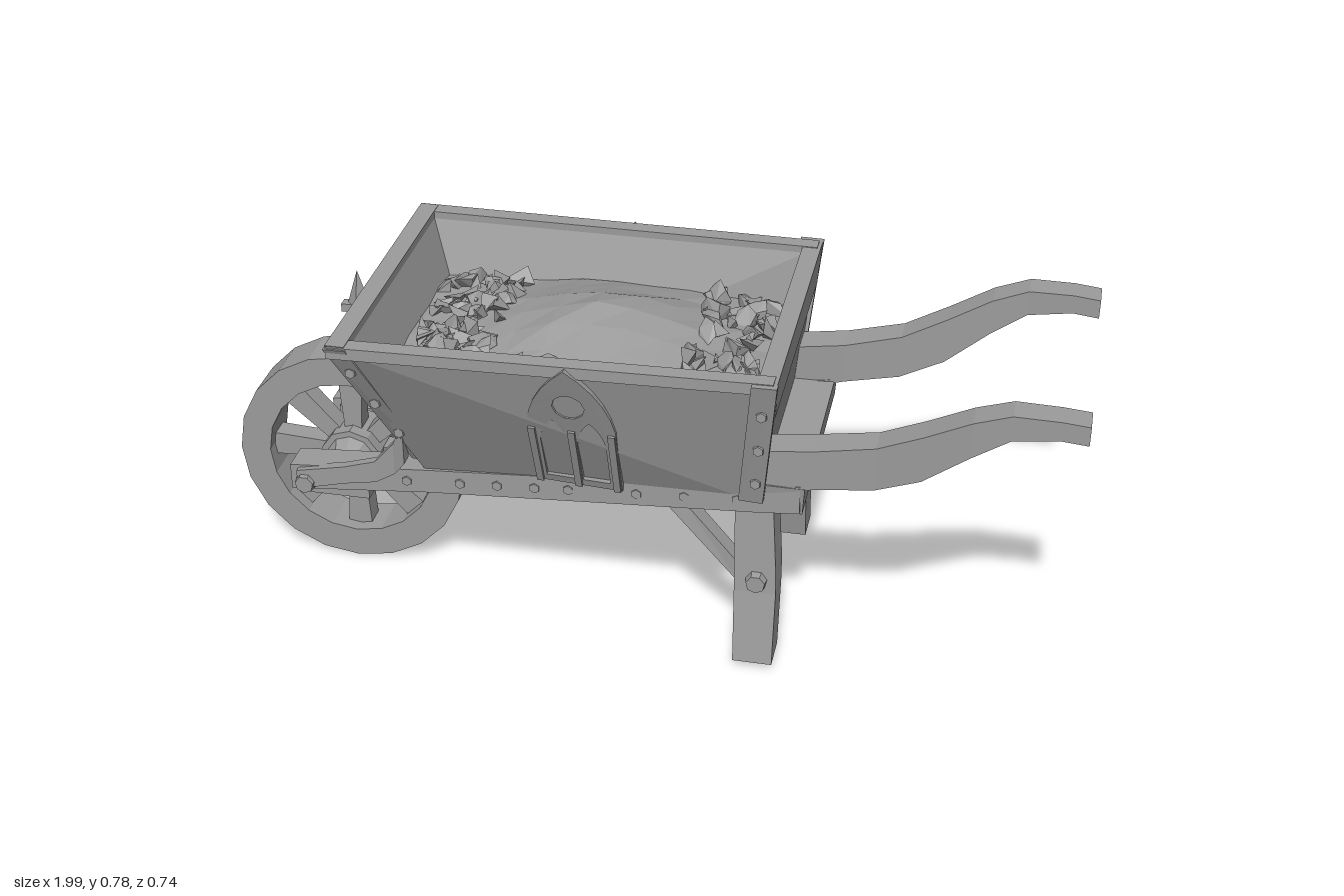
import * as THREE from 'three';

const wood = new THREE.MeshStandardMaterial({ color: 0x9c9c9c });
wood.name = 'weathered grey';
wood.flatShading = true;

let seed = 7;
const rand = () => (seed = (seed * 16807) % 2147483647) / 2147483647;
const lerp = THREE.MathUtils.lerp;

// The undercarriage sits slightly off to the right: outward shift of each side's lower parts
const sway = (s) => (s > 0 ? -0.005 : 0.03);

function add(parent, name, geo, x = 0, y = 0, z = 0) {
  const m = new THREE.Mesh(geo, wood);
  m.name = name;
  m.position.set(x, y, z);
  parent.add(m);
  return m;
}

// Solid through a row of four-cornered cross-sections, capped and wound outward
function loft(sections) {
  const tris = [];
  const quad = (a, b, c, d) => tris.push([a, b, c], [a, c, d]);
  for (let i = 0; i < sections.length - 1; i++) {
    const p = sections[i], q = sections[i + 1];
    for (let k = 0; k < 4; k++) quad(p[k], p[(k + 1) % 4], q[(k + 1) % 4], q[k]);
  }
  const e = sections[sections.length - 1];
  quad(sections[0][3], sections[0][2], sections[0][1], sections[0][0]);
  quad(e[0], e[1], e[2], e[3]);
  const v = (p) => new THREE.Vector3(...p);
  const o = v(sections[0][0]);
  const volume = tris.reduce((s, [a, b, c]) =>
    s + v(a).sub(o).dot(v(b).sub(o).cross(v(c).sub(o))), 0);
  const flat = tris.flatMap((t) => (volume < 0 ? [t[0], t[2], t[1]] : t)).flat();
  const g = new THREE.BufferGeometry();
  g.setAttribute('position', new THREE.Float32BufferAttribute(flat, 3));
  g.computeVertexNormals();
  return g;
}

// Bar along x: each station is [x, yLow, yHigh, zIn, zOut]
const bar = (stations) => loft(stations.map(([x, a, b, zi, zo]) =>
  [[x, a, zi], [x, a, zo], [x, b, zo], [x, b, zi]]));

// Outer half-width of the flared tray side at a point of its face
function wallZ(x, y, out) {
  const v = (y - 0.39) / 0.385;
  const t = (x + 0.48 + 0.16 * v) / (0.78 + 0.2 * v);
  return lerp(0.18 + out + 0.07 * t, 0.36 - 0.02 * t, v);
}

// Flat shape in x,y laid onto the flared side
function onWall(shape, depth, out) {
  const g = new THREE.ExtrudeGeometry(shape, { depth, bevelEnabled: false, curveSegments: 5 });
  const p = g.attributes.position;
  for (let i = 0; i < p.count; i++) p.setZ(i, p.getZ(i) - 0.004 + wallZ(p.getX(i), p.getY(i), out));
  g.computeVertexNormals();
  return g;
}
const poly = (pts) => new THREE.Shape(pts.map(([x, y]) => new THREE.Vector2(x, y)));

// Pointed arch outline
function arch(path, cx, half, y0, spring, top) {
  path.moveTo(cx - half, y0);
  path.lineTo(cx + half, y0);
  path.lineTo(cx + half, spring);
  path.quadraticCurveTo(cx + half * 0.85, lerp(spring, top, 0.6), cx, top);
  path.quadraticCurveTo(cx - half * 0.85, lerp(spring, top, 0.6), cx - half, spring);
  path.closePath();
  return path;
}

function buildSide(out) {
  const side = new THREE.Group();
  const T = 0.03, low = 0.18 + out, lowRear = 0.25 + out;
  add(side, 'sideWall', loft([
    [[-0.48, 0.35, low], [-0.48, 0.35, low - T], [-0.63, 0.77, 0.36 - T], [-0.63, 0.77, 0.36]],
    [[0.3, 0.42, lowRear], [0.3, 0.42, lowRear - T], [0.335, 0.78, 0.34 - T], [0.335, 0.78, 0.34]],
  ]));
  add(side, 'sideRim', bar([[-0.635, 0.745, 0.773, 0.325, 0.365], [0.335, 0.755, 0.782, 0.305, 0.343]]));

  // Handle leans back to its own line away from the shaft
  const handle = [[0.28, 0.44, 0.56, 0.185, 0.26], [0.42, 0.483, 0.58, 0.19, 0.265],
    [0.55, 0.505, 0.61, 0.205, 0.275], [0.65, 0.55, 0.66, 0.22, 0.29], [0.75, 0.63, 0.715, 0.235, 0.303],
    [0.83, 0.685, 0.745, 0.243, 0.308], [0.93, 0.7, 0.745, 0.247, 0.31], [0.99, 0.695, 0.74, 0.247, 0.31]];
  add(side, 'handle', bar(handle.map(([x, a, b, zi, zo], i) => {
    const shift = out * (1 - i / 9);
    return [x, a, b, zi + shift, zo + shift];
  })));

  // Shaft and leg
  const frame = new THREE.Group();
  frame.name = 'undercarriage';
  frame.position.z = out;
  side.add(frame);
  add(frame, 'shaft', bar([[-0.82, 0.27, 0.335, 0.105, 0.18], [-0.48, 0.315, 0.375, 0.13, 0.2],
    [0.3, 0.405, 0.47, 0.18, 0.262], [0.39, 0.415, 0.485, 0.185, 0.265]]));
  add(frame, 'leg', loft([[0.02, 0.255, 0.345, 0.213, 0.3], [0.195, 0.25, 0.345, 0.18, 0.27],
    [0.25, 0.248, 0.343, 0.175, 0.265], [0.43, 0.245, 0.33, 0.165, 0.25]].map(([y, a, b, zi, zo]) =>
    [[a, y, zi], [b, y, zi], [b, y, zo], [a, y, zo]])));
  add(frame, 'legBrace', loft([
    [[0.08, 0.39, 0.19], [0.13, 0.39, 0.19], [0.13, 0.39, 0.235], [0.08, 0.39, 0.235]],
    [[0.26, 0.2, 0.205], [0.26, 0.25, 0.205], [0.26, 0.25, 0.25], [0.26, 0.2, 0.25]]]));

  // Metal straps at the corners and down to the axle
  add(side, 'frontCornerStrap', onWall(poly([[-0.64, 0.77], [-0.515, 0.4], [-0.47, 0.4], [-0.59, 0.77]]), 0.016, out));
  add(side, 'rearCornerStrap', onWall(poly([[0.255, 0.44], [0.31, 0.44], [0.345, 0.78], [0.29, 0.78]]), 0.02, out));
  add(frame, 'axleStrap', bar([[-0.8, 0.28, 0.33, 0.17, 0.195], [-0.68, 0.315, 0.36, 0.18, 0.203],
    [-0.6, 0.335, 0.39, 0.19, 0.212], [-0.55, 0.37, 0.45, 0.195, 0.222], [-0.52, 0.41, 0.52, 0.205, 0.238]]));
  add(frame, 'axleBlock', new THREE.BoxGeometry(0.16, 0.075, 0.06), -0.72, 0.285, 0.125);

  // Pointed tracery window
  const tracery = arch(new THREE.Shape(), -0.11, 0.1, 0.41, 0.6, 0.775);
  for (const dx of [-0.042, 0.042])
    tracery.holes.push(arch(new THREE.Path(), -0.11 + dx, 0.032, 0.43, 0.55, 0.62));
  tracery.holes.push(new THREE.Path().absarc(-0.11, 0.665, 0.036, 0, Math.PI * 2, true));
  add(side, 'traceryWindow', onWall(tracery, 0.022, out));
  for (const x of [-0.2, -0.11, -0.02])
    add(side, 'traceryColumn', onWall(poly([[x - 0.008, 0.41], [x + 0.008, 0.41], [x + 0.008, 0.59], [x - 0.008, 0.59]]), 0.03, out));

  // Rivets
  const rivet = new THREE.CylinderGeometry(0.012, 0.014, 0.014, 6).rotateX(Math.PI / 2);
  for (const x of [-0.53, -0.4, -0.31, -0.22, -0.14, 0.02, 0.13, 0.25])
    add(frame, 'rivet', rivet, x, 0.4 + x * 0.115, 0.234 + x * 0.075);
  for (const y of [0.5, 0.6, 0.7]) {
    add(side, 'rivet', rivet, 0.255 + y * 0.08, y, wallZ(0.29, y, out) + 0.016);
    const x = -0.49 - (y - 0.4) * 0.34;
    add(side, 'rivet', rivet, x, y, wallZ(x, y, out) + 0.012);
  }
  const bolt = new THREE.CylinderGeometry(0.022, 0.026, 0.025, 7).rotateX(Math.PI / 2);
  add(frame, 'legBolt', bolt, 0.3, 0.225, 0.272);
  add(frame, 'axleBolt', bolt, -0.78, 0.3, 0.195);
  return side;
}

// End boards span between the sides: [x, y, halfZ] for outer low, inner low, inner high, outer high
const endBoard = (pts) => loft([-1, 1].map((s) =>
  pts.map(([x, y, z]) => [x, y, s * (z + (sway(s) * (0.78 - y)) / 0.36)])));

function buildWheel() {
  const wheel = new THREE.Group();
  wheel.name = 'wheel';
  const ring = [[0.203, -0.057], [0.276, -0.057], [0.276, 0.057], [0.203, 0.057], [0.203, -0.057]];
  add(wheel, 'wheelRim', new THREE.LatheGeometry(ring.map(([r, y]) => new THREE.Vector2(r, y)), 20).rotateX(Math.PI / 2));
  add(wheel, 'hub', new THREE.CylinderGeometry(0.075, 0.075, 0.11, 10).rotateX(Math.PI / 2));
  for (const s of [-1, 1])
    add(wheel, 'hubCap', new THREE.CylinderGeometry(0.04, 0.06, 0.04, 10).rotateX(s * Math.PI / 2), 0, 0, s * 0.075);
  add(wheel, 'axle', new THREE.CylinderGeometry(0.025, 0.025, 0.32, 8).rotateX(Math.PI / 2));
  for (let i = 0; i < 8; i++) {
    const spoke = loft([[0.05, 0.02], [0.215, 0.03]].map(([y, w]) =>
      [[-w, y, -0.025], [w, y, -0.025], [w, y, 0.025], [-w, y, 0.025]]));
    add(wheel, 'spoke', spoke).rotation.z = (i * Math.PI) / 4;
  }
  // Spear finial above the rim
  add(wheel, 'finialStem', new THREE.CylinderGeometry(0.011, 0.018, 0.14, 6), 0.03, 0.33, 0);
  add(wheel, 'finialBar', new THREE.BoxGeometry(0.08, 0.02, 0.025), 0.03, 0.385, 0);
  add(wheel, 'finialTip', new THREE.ConeGeometry(0.028, 0.09, 4), 0.03, 0.435, 0);
  wheel.position.set(-0.72, 0.28, -0.018);
  return wheel;
}

function buildLoad() {
  const load = new THREE.Group();
  load.name = 'load';
  // Mound of earth
  const height = (x, z) => 0.635 + 0.09 * Math.exp(-((x + 0.11) ** 2) / 0.06 - ((z + 0.03) ** 2) / 0.045);
  const g = new THREE.PlaneGeometry(0.855, 0.55, 10, 7).rotateX(-Math.PI / 2).translate(-0.132, 0, 0);
  const p = g.attributes.position;
  for (let i = 0; i < p.count; i++) p.setY(i, height(p.getX(i), p.getZ(i)) + (rand() - 0.5) * 0.012);
  g.computeVertexNormals();
  add(load, 'earthMound', g);
  // Broken clods heaped at the two ends and along the front
  for (let i = 0; i < 150; i++) {
    const zone = i % 6;
    const x = zone < 3 ? -0.53 + rand() * 0.18 : zone < 5 ? 0.1 + rand() * 0.16 : -0.4 + rand() * 0.55;
    const z = zone === 5 ? 0.16 + rand() * 0.09 : (rand() - 0.5) * 0.5;
    const clod = add(load, 'clod', new THREE.TetrahedronGeometry(0.018 + rand() * 0.024, i % 2), x, height(x, z) + 0.01, z);
    clod.scale.set(1.3, 0.6, 0.9);
    clod.rotation.set(rand() * 6, rand() * 6, rand() * 6);
  }
  return load;
}

export function createModel() {
  const model = new THREE.Group();
  model.name = 'wheelbarrow';
  for (const s of [1, -1]) {
    const side = buildSide(sway(s));
    side.name = s > 0 ? 'leftSide' : 'rightSide';
    side.scale.z = s;
    model.add(side);
  }
  // Tray ends and floor
  add(model, 'frontBoard', endBoard([[-0.48, 0.35, 0.175], [-0.45, 0.35, 0.175], [-0.6, 0.77, 0.355], [-0.63, 0.77, 0.355]]));
  add(model, 'frontRim', endBoard([[-0.625, 0.74, 0.345], [-0.595, 0.74, 0.345], [-0.595, 0.775, 0.36], [-0.638, 0.775, 0.36]]));
  add(model, 'rearBoard', endBoard([[0.3, 0.42, 0.245], [0.27, 0.42, 0.245], [0.305, 0.78, 0.335], [0.335, 0.78, 0.335]]));
  add(model, 'rearTopPlank', endBoard([[0.337, 0.685, 0.31], [0.3, 0.685, 0.31], [0.3, 0.78, 0.338], [0.343, 0.78, 0.338]]));
  add(model, 'trayFloor', endBoard([[-0.5, 0.312, 0.16], [0.33, 0.402, 0.24], [0.33, 0.45, 0.24], [-0.5, 0.365, 0.16]]));
  add(model, 'rearCrossbeam', endBoard([[0.395, 0.408, 0.255], [0.29, 0.408, 0.25], [0.29, 0.48, 0.265], [0.4, 0.48, 0.265]]));
  model.add(buildWheel(), buildLoad());
  return model;
}
